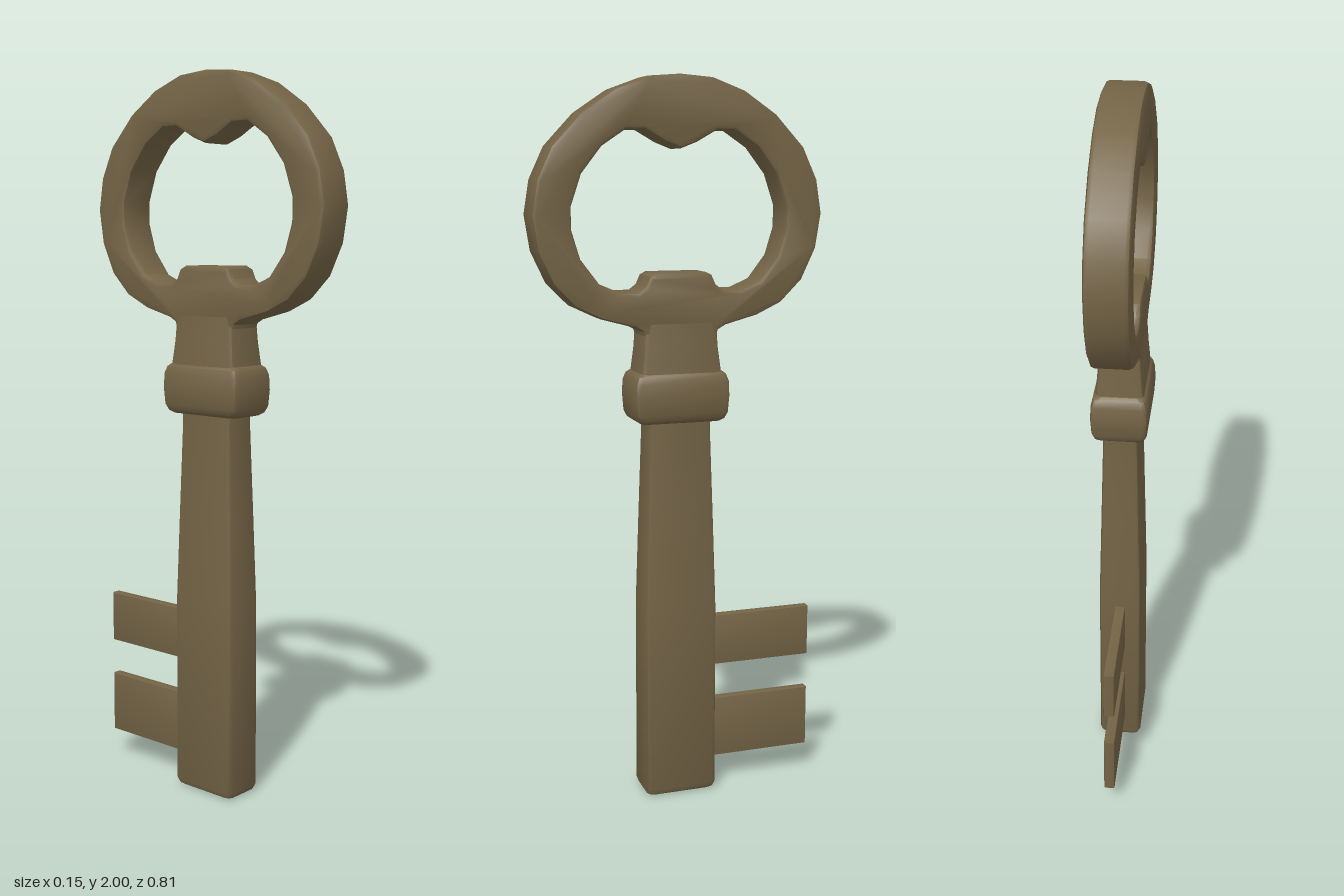
import * as THREE from 'three';
import { toCreasedNormals } from 'three/addons/utils/BufferGeometryUtils.js';

const CREASE = 0.6;

// Stack of rectangular rings [y, halfX, halfZ] with rounded corners, capped at both ends
function loftBox(rings, corner = 0.015) {
  const pos = [], index = [], steps = 2, n = 4 * (steps + 1);
  for (const [y, hx, hz] of rings) {
    for (let q = 0; q < 4; q++) {
      const sx = q === 0 || q === 3 ? 1 : -1, sz = q < 2 ? 1 : -1;
      for (let s = 0; s <= steps; s++) {
        const a = (q + s / steps) * Math.PI / 2;
        pos.push(sx * (hx - corner) + corner * Math.cos(a), y, sz * (hz - corner) + corner * Math.sin(a));
      }
    }
  }
  const last = rings.length - 1;
  for (let i = 0; i < last; i++) {
    for (let j = 0; j < n; j++) {
      const a = i * n + j, b = i * n + (j + 1) % n;
      index.push(a, a + n, b, b, a + n, b + n);
    }
  }
  const bottom = pos.length / 3;
  pos.push(0, rings[0][0], 0, 0, rings[last][0], 0);
  for (let j = 0; j < n; j++) {
    const k = (j + 1) % n;
    index.push(bottom, j, k, bottom + 1, last * n + k, last * n + j);
  }
  const geo = new THREE.BufferGeometry();
  geo.setAttribute('position', new THREE.Float32BufferAttribute(pos, 3));
  geo.setIndex(index);
  return toCreasedNormals(geo, CREASE);
}

// Outline in the side plane, extruded across x with bevelled rims
function plate(shape, width, bevel) {
  const geo = new THREE.ExtrudeGeometry(shape, {
    depth: width - 2 * bevel, bevelThickness: bevel, bevelSize: bevel,
    bevelOffset: -bevel, bevelSegments: 2,
  });
  geo.translate(0, 0, -(width - 2 * bevel) / 2);
  geo.rotateY(Math.PI / 2);
  return toCreasedNormals(geo, CREASE);
}

// Full symmetric clockwise outline from one half, listed top to bottom
function mirrored(half) {
  const right = half.map(([u, y]) => new THREE.Vector2(u, y));
  const left = half.filter(([u]) => u > 0).map(([u, y]) => new THREE.Vector2(-u, y)).reverse();
  return [...right, ...left];
}

export function createModel() {
  const model = new THREE.Group();
  model.name = 'key';
  const bronze = new THREE.MeshStandardMaterial({ color: 0x746446 });
  bronze.name = 'agedBronze';
  const add = (name, geo) => {
    const mesh = new THREE.Mesh(geo, bronze);
    mesh.name = name;
    model.add(mesh);
  };

  // Ring handle with a pointed notch above and a square hub below; outline runs opposite to its hole
  const bow = new THREE.Shape(mirrored([
    [0, 2], [0.09, 1.993], [0.18, 1.96], [0.27, 1.9], [0.35, 1.815], [0.39, 1.73], [0.405, 1.64],
    [0.39, 1.545], [0.35, 1.46], [0.29, 1.4], [0.22, 1.367], [0.13, 1.343], [0.107, 1.33], [0.1, 1.3],
  ]).reverse());
  bow.holes.push(new THREE.Path(mirrored([
    [0, 1.81], [0.045, 1.827], [0.1, 1.858], [0.15, 1.858], [0.215, 1.815], [0.27, 1.745], [0.299, 1.66],
    [0.298, 1.6], [0.275, 1.525], [0.225, 1.46], [0.17, 1.437], [0.12, 1.437], [0.1, 1.452],
    [0.088, 1.478], [0.072, 1.486],
  ])));
  add('bow', plate(bow, 0.11, 0.013));

  // Neck flaring down into the collar
  add('neck', loftBox([[1.17, 0.066, 0.118], [1.22, 0.064, 0.114], [1.28, 0.059, 0.107],
    [1.33, 0.056, 0.104], [1.36, 0.0545, 0.1], [1.42, 0.052, 0.085]]));

  // Rounded collar
  add('collar', loftBox([[1.08, 0.058, 0.112], [1.088, 0.068, 0.124], [1.105, 0.074, 0.132],
    [1.15, 0.077, 0.135], [1.19, 0.075, 0.134], [1.21, 0.07, 0.127], [1.218, 0.062, 0.117]]));

  // Tapered shaft with a softened foot
  add('shaft', loftBox([[0, 0.047, 0.09], [0.006, 0.056, 0.099], [0.02, 0.061, 0.104], [0.55, 0.06, 0.104],
    [0.8, 0.054, 0.097], [1.06, 0.048, 0.089], [1.12, 0.048, 0.092]]));

  // Two flat teeth at the back
  for (const [name, y0, y1] of [['lowerTooth', 0.08, 0.257], ['upperTooth', 0.36, 0.507]]) {
    const tooth = new THREE.Shape([[0.06, y0], [0.403, y0], [0.403, y1], [0.06, y1]]
      .map(([u, y]) => new THREE.Vector2(u, y)));
    add(name, plate(tooth, 0.03, 0.004));
  }
  return model;
}
